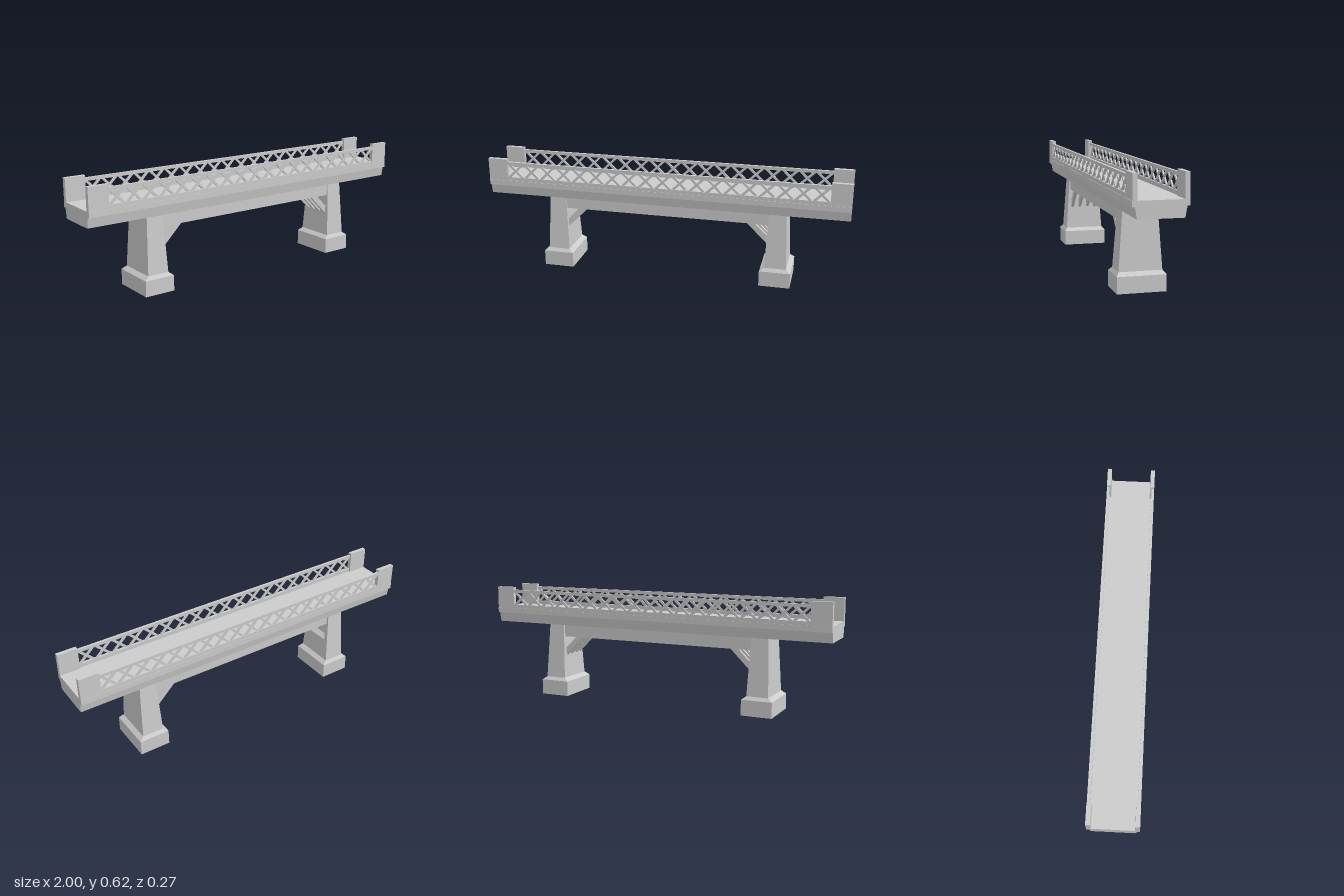
import * as THREE from 'three';

const mat = new THREE.MeshStandardMaterial({ color: 0xcccccc, flatShading: true });
const shellMat = new THREE.MeshStandardMaterial({ color: 0xcccccc, flatShading: true, side: THREE.DoubleSide });

function add(parent, name, geometry, material = mat) {
  const mesh = new THREE.Mesh(geometry, material);
  mesh.name = name;
  parent.add(mesh);
  return mesh;
}

// Box given by its minimum and maximum on each axis
function box(parent, name, [x0, x1], [y0, y1], [z0, z1]) {
  const g = new THREE.BoxGeometry(x1 - x0, y1 - y0, z1 - z0);
  g.translate((x0 + x1) / 2, (y0 + y1) / 2, (z0 + z1) / 2);
  return add(parent, name, g);
}

// Outline in x/y, extruded along z and centred on z
function plate(parent, name, points, z, depth) {
  const shape = new THREE.Shape(points.map(p => new THREE.Vector2(...p)));
  const g = new THREE.ExtrudeGeometry(shape, { depth, bevelEnabled: false });
  g.translate(0, 0, z - depth / 2);
  return add(parent, name, g);
}

// Open rectangular shell through rings of [y, halfX, halfZ], top first
function shell(rings) {
  const g = new THREE.CylinderGeometry(1, 1, 1, 4, rings.length - 1, true, Math.PI / 4);
  const p = g.attributes.position;
  for (let i = 0; i < p.count; i++) {
    const [y, hx, hz] = rings[Math.floor(i / 5)];
    p.setXYZ(i, Math.sign(p.getX(i)) * hx, y, Math.sign(p.getZ(i)) * hz);
  }
  g.computeVertexNormals();
  return g;
}

function createRailing(side) {
  const railing = new THREE.Group();
  railing.name = side > 0 ? 'frontRailing' : 'backRailing';
  const z = side * 0.126;
  const zs = [z - 0.007, z + 0.007];
  const end = 0.89, y0 = 0.518, y1 = 0.588;
  box(railing, 'bottomRail', [-end, end], [0.496, y0], zs);
  box(railing, 'topRail', [-end, end], [y1, 0.605], zs);

  // Crossed lattice bars
  const count = 19, pitch = 2 * end / count, half = 0.036, w = 0.009;
  for (let i = 0; i < count; i++) {
    const x = -end + (i + 0.5) * pitch;
    for (const s of [-1, 1]) {
      const pts = [[x - s * half - w, y0], [x - s * half + w, y0],
        [x + s * half + w, y1], [x + s * half - w, y1]];
      plate(railing, 'latticeBar', pts, z + s * 0.001, 0.008);
    }
  }
  // Solid parapet blocks at both ends
  for (const s of [-1, 1]) {
    const post = box(railing, 'endParapet', [-0.055, 0.055], [0.49, 0.62], [-0.0115, 0.0115]);
    post.position.set(s * 0.945, 0, side * 0.122);
  }
  return railing;
}

function createPier(x) {
  const pier = add(new THREE.Group(), x > 0 ? 'leftPier' : 'rightPier', shell([
    [0.414, 0.046, 0.0885], [0.103, 0.06, 0.111], [0.085, 0.0845, 0.1255], [0, 0.0845, 0.1255],
  ]), shellMat);
  pier.position.set(x, 0, -0.0025);
  return pier;
}

export function createModel() {
  const bridge = new THREE.Group();
  bridge.name = 'bridge';

  // Deck slab and its tapered underside
  box(bridge, 'deckSlab', [-1, 1], [0.468, 0.497], [-0.135, 0.135]);
  const taper = new THREE.BoxGeometry(2, 0.055, 0.244);
  const p = taper.attributes.position;
  for (let i = 0; i < p.count; i++) if (p.getY(i) < 0) p.setZ(i, Math.sign(p.getZ(i)) * 0.112);
  taper.computeVertexNormals();
  taper.translate(0, 0.4405, 0);
  add(bridge, 'deckUnderside', taper);

  for (const s of [-1, 1]) {
    bridge.add(createRailing(s));
    bridge.add(createPier(s * 0.617 + 0.003));
    // Long girder between the piers
    box(bridge, 'girder', [-0.567, 0.575], [0.343, 0.414],
      [s * 0.07 - 0.012, s * 0.07 + 0.012]);
    // Diagonal braces from pier to girder level
    for (const z of [-0.07, -0.024, 0.024, 0.07]) {
      const pts = [[0.571, 0.225], [0.571, 0.27], [0.495, 0.345], [0.45, 0.345]]
        .map(([x, y]) => [s * x + 0.003, y]);
      plate(bridge, 'brace', pts, z, 0.016);
    }
  }
  return bridge;
}
